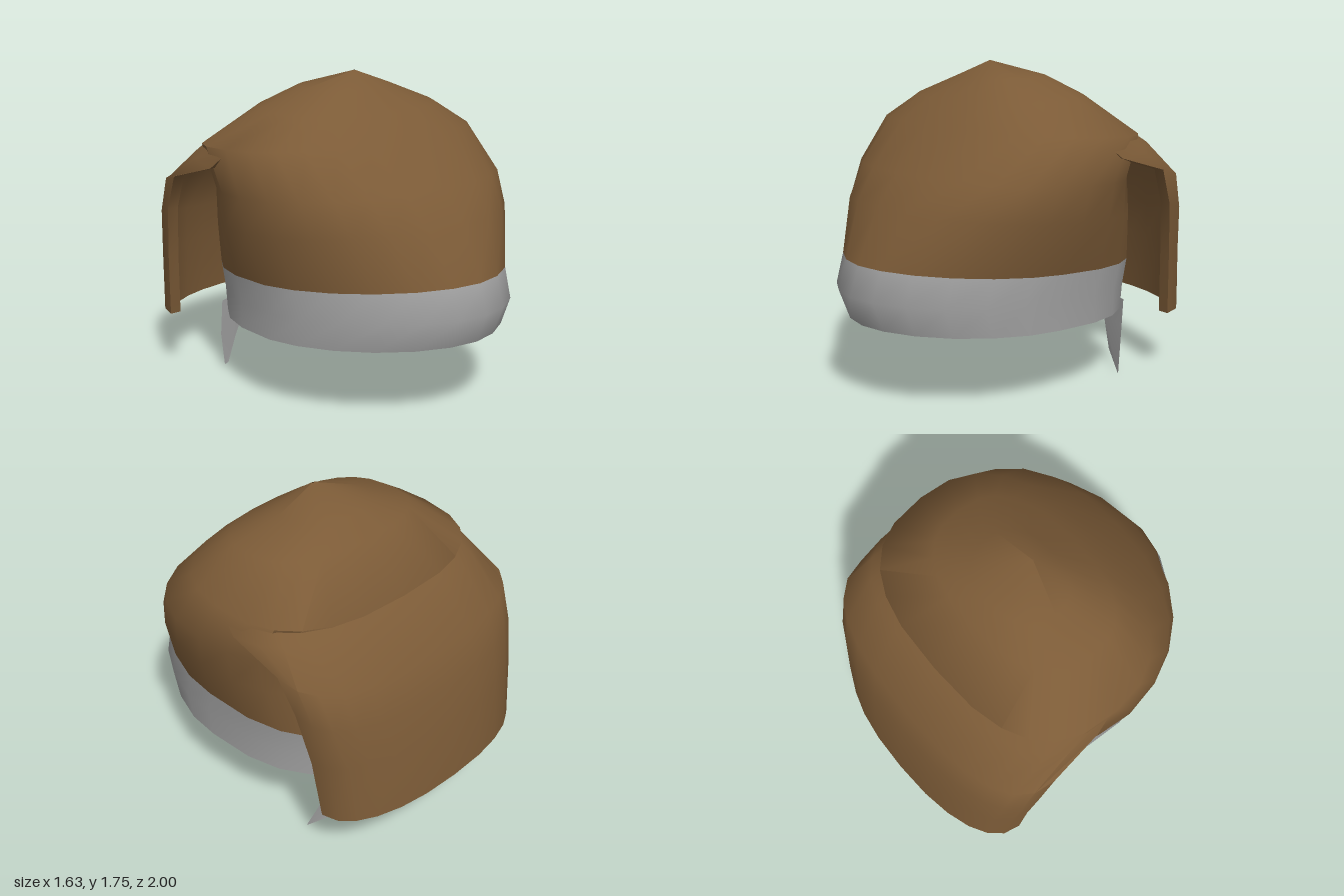
import * as THREE from 'three';
import { toCreasedNormals } from 'three/addons/utils/BufferGeometryUtils.js';

const brown = new THREE.MeshStandardMaterial({ color: 0x7c5b37, side: THREE.DoubleSide });
brown.name = 'brown cloth';
const grey = new THREE.MeshStandardMaterial({ color: 0xa2a2a2, side: THREE.DoubleSide });
grey.name = 'grey cloth';

// Skin closed loops of equal length, running counter-clockwise and upward
function loft(loops, crease = 0.9) {
  const n = loops[0].length;
  const index = [];
  for (let i = 0; i < loops.length - 1; i++) {
    for (let j = 0; j < n; j++) {
      const k = (j + 1) % n;
      const a = i * n + j, b = i * n + k, c = a + n, d = b + n;
      index.push(a, b, d, a, d, c);
    }
  }
  const g = new THREE.BufferGeometry();
  g.setAttribute('position', new THREE.Float32BufferAttribute(loops.flat(2), 3));
  g.setIndex(index);
  return toCreasedNormals(g, crease);
}

const power = (v, n) => Math.sign(v) * Math.pow(Math.abs(v), 2 / n);

// Rounded horizontal loop, tilted from front to back, its front half leaning to +x by skew
function ring({ yf, yb, zf, zb, w, nf = 1.85, nb = 2.5, dx = 0, skew = 0 }) {
  const pts = [], sides = 24;
  for (let i = 0; i < sides; i++) {
    const a = (i / sides) * Math.PI * 2;
    const n = Math.cos(a) > 0 ? nf : nb;
    const c = power(Math.cos(a), n);
    pts.push([dx + w * power(Math.sin(a), n) + skew * Math.max(0, c),
      yb + (yf - yb) * (c + 1) / 2,
      (zf + zb) / 2 + (zf - zb) / 2 * c]);
  }
  return pts;
}

// Flap cross-section: outer arc round the back, then the inner arc returning
function flapLoop([yc, zb, w, ye, ze, dx, n], collapse = false) {
  const cols = 12, t = 0.065;
  const arc = (inset) => {
    const pts = [];
    for (let i = 0; i <= cols; i++) {
      const a = (i / cols - 0.5) * Math.PI;
      const s = power(Math.sin(a), n);
      const c = power(Math.max(0, Math.cos(a)), n);
      pts.push([dx + (w - inset) * s, ye + (yc - ye) * c, ze + (zb + inset - ze) * c]);
    }
    return pts;
  };
  const inner = arc(t);
  return [...(collapse ? inner : arc(0)), ...inner.slice().reverse()];
}

// Thin pointed strip fanned from its outline
function strip(points) {
  const g = new THREE.BufferGeometry();
  g.setAttribute('position', new THREE.Float32BufferAttribute(points.flat(), 3));
  const index = [];
  for (let i = 1; i < points.length - 1; i++) index.push(0, i, i + 1);
  g.setIndex(index);
  g.computeVertexNormals();
  return g;
}

export function createModel() {
  const model = new THREE.Group();
  model.name = 'cap';
  const add = (name, geometry, material) => {
    const mesh = new THREE.Mesh(geometry, material);
    mesh.name = name;
    model.add(mesh);
  };

  // Crown: drawn in at the back below the shoulders, leaving a pocket under the flap
  const bandTop = { yf: 0.75, yb: 0.65, zf: 0.945, zb: -0.7, w: 0.7, dx: 0.005, skew: 0.05 };
  add('crown', loft([
    bandTop,
    { yf: 1.03, yb: 0.92, zf: 0.82, zb: -0.68, w: 0.78, nf: 2.15, nb: 2.1, dx: 0.01, skew: 0.04 },
    { yf: 1.2, yb: 1.13, zf: 0.69, zb: -0.6, w: 0.8, nf: 2.35, nb: 2.2, dx: 0.015, skew: 0.03 },
    { yf: 1.43, yb: 1.36, zf: 0.47, zb: -0.62, w: 0.78, nf: 2.4, nb: 2.7 },
    { yf: 1.55, yb: 1.58, zf: 0.33, zb: -0.37, w: 0.52, nf: 2.6, nb: 2.5 },
    { yf: 1.66, yb: 1.67, zf: 0.17, zb: -0.25, w: 0.27, nf: 2.3, nb: 2.3 },
    { yf: 1.75, yb: 1.75, zf: 0.045, zb: 0.035, w: 0.005 },
  ].map(ring), 1.2), brown);

  // Headband with a flat lower rim
  const bottom = { ...bandTop, yf: 0.43, yb: 0.37, zf: 0.93, zb: -0.66, w: 0.685 };
  const rim = { ...bottom, zf: 0.87, zb: -0.6, w: 0.625 };
  add('headband', loft([
    rim,
    bottom,
    { ...bottom, yf: 0.59, yb: 0.51, zf: 0.995, zb: -0.68, w: 0.69 },
    bandTop,
  ].map(ring)), grey);

  // Lining closing the underside
  add('lining', loft([
    { ...rim, zf: 0.14, zb: 0.13, w: 0.005, yf: 0.4, yb: 0.4, skew: 0 },
    rim,
  ].map(ring)), brown);

  // Neck flap: centre height, back z, half width, edge height, edge z, x shift, squareness
  const rows = [
    [1.36, -0.61, 0.765, 1.37, -0.09, 0, 2.7],
    [1.33, -0.66, 0.79, 1.28, -0.2, 0, 2.7],
    [1.1, -0.85, 0.8, 1.19, -0.51, -0.015, 2.5],
    [0.9, -0.91, 0.78, 0.99, -0.6, -0.025, 2.4],
    [0.71, -0.96, 0.74, 0.69, -0.66, -0.035, 2.3],
    [0.36, -1.0, 0.71, 0.34, -0.7, -0.04, 2.3],
  ];
  add('neckFlap', loft([
    ...rows.map((r) => flapLoop(r)),
    flapLoop(rows[rows.length - 1], true),
  ]), brown);

  // Loose ends of the headband at the back
  add('leftTie', strip([
    [0.19, 0.23, -0.67], [0.33, 0.07, -0.58], [0.54, 0, -0.45],
    [0.47, 0.25, -0.54], [0.41, 0.38, -0.61], [0.13, 0.38, -0.68],
  ]), grey);
  add('rightTie', strip([
    [-0.36, 0.13, -0.62], [-0.26, 0.28, -0.67], [-0.19, 0.39, -0.68],
    [-0.46, 0.38, -0.6], [-0.51, 0.2, -0.55], [-0.51, 0.02, -0.52], [-0.47, 0.02, -0.54],
  ]), grey);

  return model;
}
